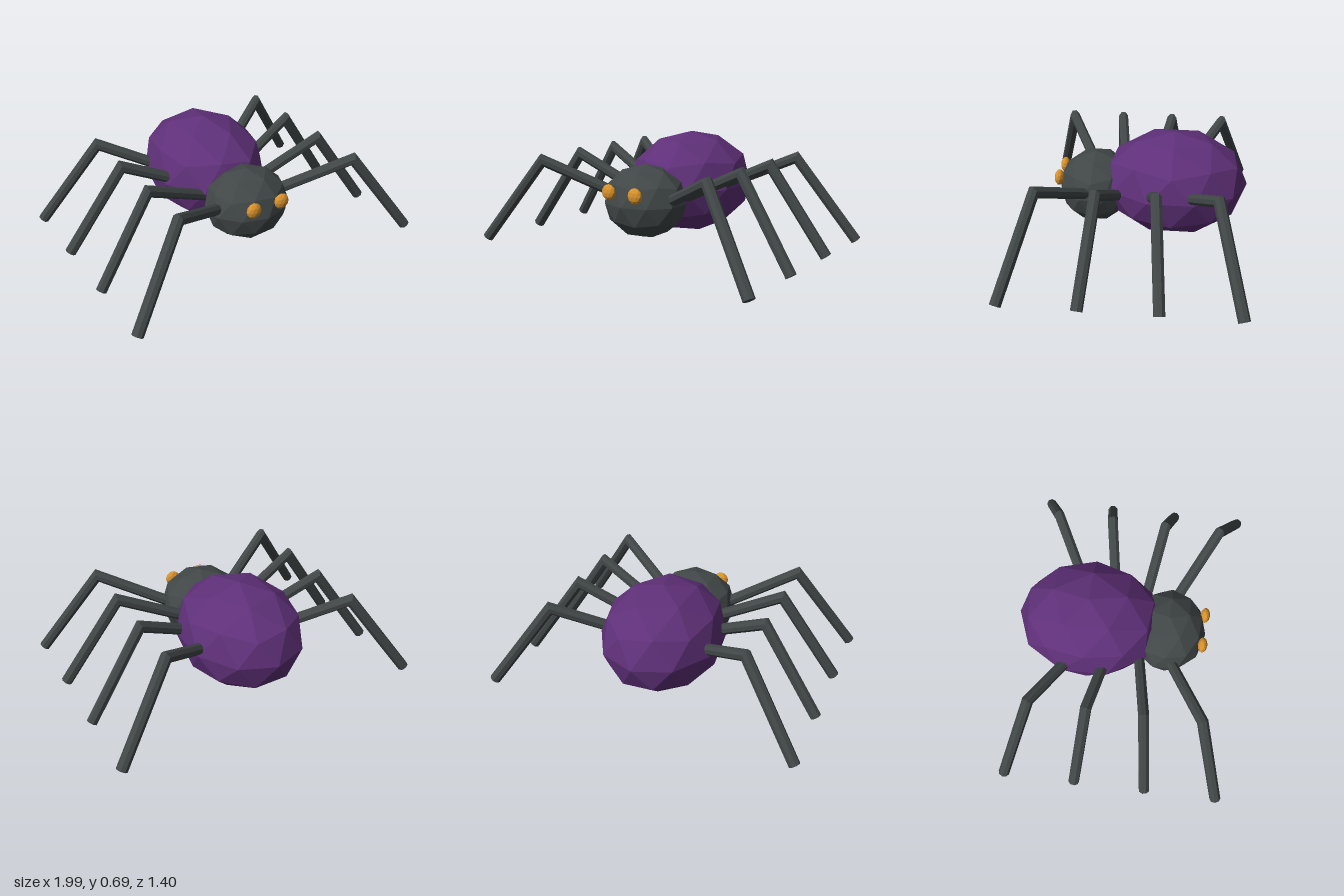
import * as THREE from 'three';

const purple = new THREE.MeshStandardMaterial({ color: 0x5f3079 });
const charcoal = new THREE.MeshStandardMaterial({ color: 0x414747 });
const amber = new THREE.MeshStandardMaterial({ color: 0xd8922c });

// Faceted ball standing on a vertex, stretched to the given radii
function facetedBall(name, material, [rx, ry, rz], [x, y, z]) {
  const geo = new THREE.IcosahedronGeometry(1, 1);
  geo.rotateX(-Math.atan((1 + Math.sqrt(5)) / 2));
  geo.rotateY(Math.PI / 2);
  geo.scale(rx, ry, rz);
  geo.computeVertexNormals(); // unshared corners give flat facets
  const mesh = new THREE.Mesh(geo, material);
  mesh.name = name;
  mesh.position.set(x, y, z);
  return mesh;
}

// Bent rod through hip, knee and foot, with a mitred knee
function legGeometry(hip, knee, foot, radius, sides = 8) {
  const d1 = knee.clone().sub(hip).normalize();
  const d2 = foot.clone().sub(knee).normalize();
  const n = d1.clone().cross(d2).normalize();
  const miter = d1.clone().sub(d2).normalize();
  const s1 = d1.clone().cross(n);
  const s2 = d2.clone().cross(n);
  const stretch = 1 / miter.dot(s1);
  const sections = [[hip, s1, 1], [knee, miter, stretch], [foot, s2, 1]];
  const rings = sections.map(([centre, side, k]) =>
    Array.from({ length: sides }, (_, i) => {
      const a = ((i + 0.5) / sides) * Math.PI * 2;
      return centre.clone()
        .addScaledVector(n, radius * Math.cos(a))
        .addScaledVector(side, radius * k * Math.sin(a));
    }));

  const points = [];
  for (let i = 0; i < sides; i++) {
    const j = (i + 1) % sides;
    for (let r = 0; r < 2; r++) {
      const [a, b] = [rings[r], rings[r + 1]];
      points.push(a[i], a[j], b[j], a[i], b[j], b[i]);
    }
    points.push(hip, rings[0][j], rings[0][i]); // end caps
    points.push(foot, rings[2][i], rings[2][j]);
  }
  const geo = new THREE.BufferGeometry().setFromPoints(points);
  geo.computeVertexNormals();
  return geo;
}

export function createModel() {
  const model = new THREE.Group();
  model.name = 'spider';

  // Body
  model.add(facetedBall('abdomen', purple, [0.37, 0.325, 0.45], [0, 0.363, -0.23]));
  model.add(facetedBall('head', charcoal, [0.265, 0.225, 0.235], [0, 0.315, 0.26]));

  // Legs: z of hip, knee and foot for the outer and inner pairs
  const rows = [
    ['front', 1, [0.255, 0.51, 0.668]],
    ['midFront', 1, [0.088, 0.168, 0.222]],
    ['midBack', -1, [0.088, 0.168, 0.222]],
    ['back', -1, [0.255, 0.51, 0.668]],
  ];
  for (const [side, label] of [[1, 'Left'], [-1, 'Right']]) {
    for (const [row, dir, [hipZ, kneeZ, footZ]] of rows) {
      const geo = legGeometry(
        new THREE.Vector3(side * 0.15, 0.315, dir * hipZ),
        new THREE.Vector3(side * 0.61, 0.535, dir * kneeZ),
        new THREE.Vector3(side * 0.968, 0.02, dir * footZ),
        0.034);
      const leg = new THREE.Mesh(geo, charcoal);
      leg.name = `${row}${label}Leg`;
      model.add(leg);
    }

    // Eyes
    model.add(facetedBall(`eye${label}`, amber, [0.048, 0.049, 0.03], [side * 0.098, 0.393, 0.479]));
  }
  return model;
}
